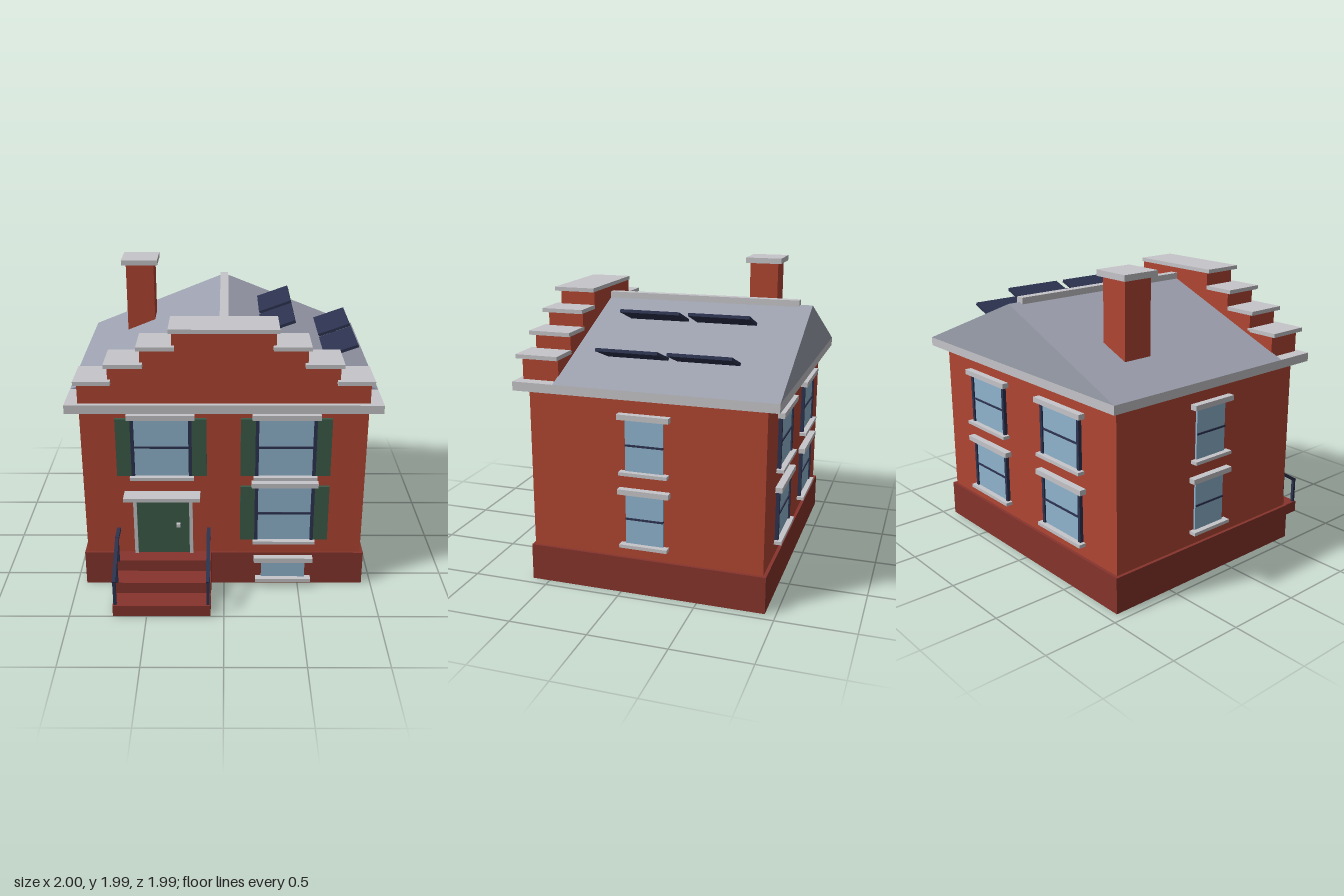
import * as THREE from 'three';

const mat = (name, color) => {
  const m = new THREE.MeshStandardMaterial({ color });
  m.name = name;
  return m;
};

export function createModel() {
  const brick = mat('brick', 0xb04632);
  const darkBrick = mat('darkBrick', 0x86342c);
  const stone = mat('stone', 0xc6c6ca);
  const slate = mat('slate', 0x9da1af);
  const glass = mat('glass', 0x90b4ce);
  const green = mat('green', 0x3a5b48);
  const navy = mat('navy', 0x2d3350);

  const house = new THREE.Group();
  house.name = 'house';

  // Box from its lower and upper limits on each axis
  const box = (parent, name, m, x0, x1, y0, y1, z0, z1) => {
    const mesh = new THREE.Mesh(new THREE.BoxGeometry(x1 - x0, y1 - y0, z1 - z0), m);
    mesh.position.set((x0 + x1) / 2, (y0 + y1) / 2, (z0 + z1) / 2);
    mesh.name = name;
    parent.add(mesh);
    return mesh;
  };
  const group = (name) => {
    const g = new THREE.Group();
    g.name = name;
    house.add(g);
    return g;
  };

  // Walls, plinth and cornice
  box(house, 'plinth', darkBrick, -0.938, 0.938, 0, 0.24, -0.933, 0.617);
  box(house, 'walls', brick, -0.917, 0.917, 0.24, 1.29, -0.912, 0.6);
  box(house, 'cornice', stone, -0.998, 0.998, 1.287, 1.344, -0.995, 0.675);

  // Gabled roof with ridge cap
  const gable = new THREE.Shape([
    new THREE.Vector2(-0.998, 1.344),
    new THREE.Vector2(0.998, 1.344),
    new THREE.Vector2(0, 1.745),
  ]);
  const roof = new THREE.Mesh(new THREE.ExtrudeGeometry(gable, { depth: 1.4, bevelEnabled: false }), slate);
  roof.position.z = -0.995;
  roof.name = 'roof';
  house.add(roof);
  box(house, 'ridgeCap', stone, -0.029, 0.029, 1.735, 1.776, -0.912, 0.42);

  // Stepped parapet: half width, foot, cap underside, inner edge of cap
  const parapet = group('parapet');
  [
    [0.915, 1.344, 1.476, 0.702],
    [0.721, 1.476, 1.588, 0.5],
    [0.518, 1.588, 1.7, 0.302],
    [0.32, 1.7, 1.812, 0],
  ].forEach(([w, y0, y1, inner]) => {
    box(parapet, 'parapetStep', brick, -w, w, y0, y1, 0.4, 0.64);
    const edge = w + 0.018;
    if (inner === 0) box(parapet, 'topCap', stone, -edge, edge, y1, y1 + 0.026, 0.4, 0.678);
    else {
      box(parapet, 'stepCap', stone, inner, edge, y1, y1 + 0.026, 0.4, 0.678);
      box(parapet, 'stepCap', stone, -edge, -inner, y1, y1 + 0.026, 0.4, 0.678);
    }
  });

  // Chimney
  const chimney = group('chimney');
  box(chimney, 'chimneyStack', brick, -0.7, -0.503, 1.42, 1.947, -0.66, -0.46);
  box(chimney, 'chimneyCap', stone, -0.73, -0.475, 1.947, 1.985, -0.687, -0.432);

  // Solar panels, tilted up towards the eaves
  for (const [x, y] of [[0.358, 1.685], [0.782, 1.517]])
    for (const z of [-0.035, -0.488]) {
      const panel = box(house, 'solarPanel', navy, -0.1175, 0.1175, -0.01, 0.01, -0.197, 0.197);
      panel.position.set(x, y, z);
      panel.rotation.z = Math.PI / 9;
    }

  // Window built facing +z with the wall face at z = 0
  const addWindow = (name, x, z, turn, w, y0, y1, o = {}) => {
    const g = group(name);
    const h = w / 2;
    box(g, 'pane', glass, -h, h, y0, y1, -0.005, 0.013);
    if (!o.plain) {
      const mid = (y0 + y1) / 2;
      box(g, 'glazingBar', navy, -h, h, mid - 0.006, mid + 0.006, 0, 0.02);
    }
    for (const s of [-1, 1]) {
      const side = (a, b) => [Math.min(s * a, s * b), Math.max(s * a, s * b)];
      if (o.jambs) box(g, 'jamb', navy, ...side(h - 0.005, h + 0.017), y0, y1, 0, 0.023);
      if (o.shutters) box(g, 'shutter', green, ...side(h + 0.008, h + 0.112), y0, y1, 0, 0.022);
    }
    const reach = o.reach ?? 0.038;
    box(g, 'lintel', stone, -h - reach, h + reach, y1, y1 + 0.034, 0, 0.045);
    box(g, 'sill', stone, -h - reach + 0.01, h + reach - 0.01, y0 - 0.022, y0, 0, 0.048);
    g.position.set(x, 0, z);
    g.rotation.y = turn;
  };

  // Front windows
  const front = { jambs: true, shutters: true };
  addWindow('frontWindow', -0.402, 0.6, 0, 0.358, 0.825, 1.227, front);
  addWindow('frontWindow', 0.398, 0.6, 0, 0.358, 0.825, 1.227, front);
  addWindow('frontWindow', 0.398, 0.6, 0, 0.358, 0.345, 0.745, front);
  addWindow('basementWindow', 0.398, 0.617, 0, 0.294, 0.06, 0.187, { plain: true, reach: 0.05 });

  // Side and back windows on both floors
  for (const [y0, y1] of [[0.818, 1.15], [0.34, 0.67]])
    for (const s of [-1, 1]) {
      addWindow('sideWindow', s * 0.917, -0.158, s * Math.PI / 2, 0.245, y0, y1, { reach: 0.043 });
      addWindow('backWindow', s * 0.4, -0.912, Math.PI, 0.358, y0, y1, { jambs: true, reach: 0.05 });
    }

  // Front door with frame, hood and knob
  const door = group('frontDoor');
  box(door, 'doorLeaf', green, -0.575, -0.23, 0.24, 0.65, 0.595, 0.612);
  box(door, 'frameSide', stone, -0.598, -0.575, 0.24, 0.65, 0.59, 0.622);
  box(door, 'frameSide', stone, -0.23, -0.207, 0.24, 0.65, 0.59, 0.622);
  box(door, 'frameTop', stone, -0.598, -0.207, 0.65, 0.677, 0.59, 0.622);
  box(door, 'hood', stone, -0.652, -0.155, 0.677, 0.703, 0.59, 0.71);
  box(door, 'knob', stone, -0.315, -0.29, 0.447, 0.472, 0.61, 0.637);

  // Front steps
  const steps = group('frontSteps');
  [[0, 0.998], [0.08, 0.856], [0.16, 0.716]].forEach(([y, z]) =>
    box(steps, 'step', darkBrick, -0.718, -0.086, y, y + 0.08, 0.6, z));

  // Handrails
  for (const x of [-0.702, -0.102]) {
    const rail = group('handrail');
    for (const [z, y] of [[0.98, 0.08], [0.85, 0.16], [0.72, 0.24]])
      box(rail, 'post', navy, x - 0.01, x + 0.01, y, y + 0.175, z - 0.01, z + 0.01);
    box(rail, 'levelRail', navy, x - 0.012, x + 0.012, 0.404, 0.426, 0.6, 0.725);
    const length = Math.hypot(0.26, 0.16) + 0.02;
    const slope = box(rail, 'slopingRail', navy, x - 0.012, x + 0.012, -0.011, 0.011, -length / 2, length / 2);
    slope.position.set(x, 0.335, 0.85);
    slope.rotation.x = Math.atan2(0.16, 0.26);
  }

  return house;
}
